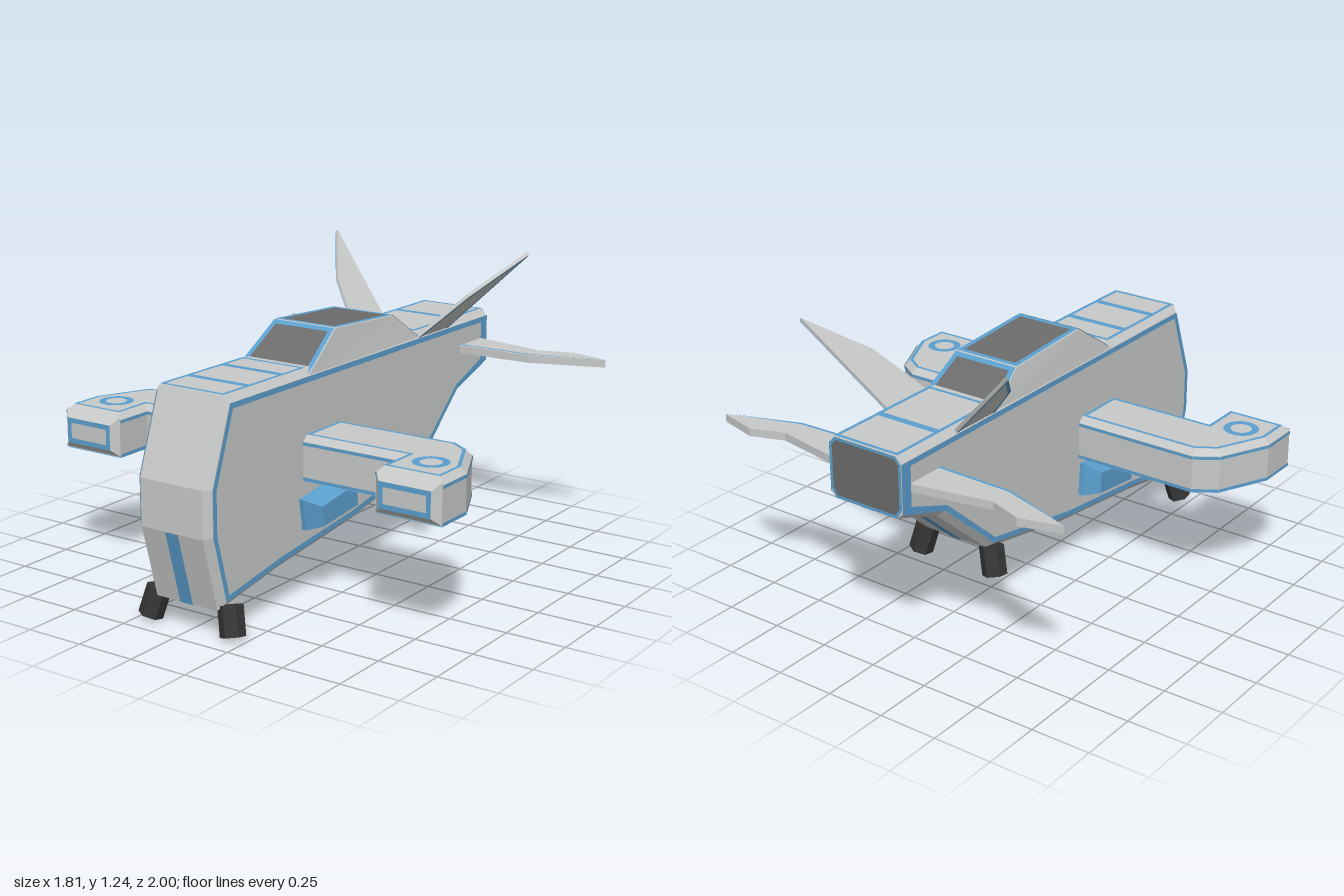
import * as THREE from 'three';

const mat = (name, color, side = THREE.FrontSide) => {
  const m = new THREE.MeshStandardMaterial({ color, flatShading: true, side });
  m.name = name;
  return m;
};

// Move every edge of a polygon inwards by d.
function inset(poly, d) {
  const n = poly.length;
  let area = 0;
  poly.forEach(([x, y], i) => {
    const [X, Y] = poly[(i + 1) % n];
    area += x * Y - X * y;
  });
  const s = Math.sign(area);
  const normal = (a, b) => {
    const l = Math.hypot(b[0] - a[0], b[1] - a[1]);
    return [-s * (b[1] - a[1]) / l, s * (b[0] - a[0]) / l];
  };
  return poly.map((p, i) => {
    const a = normal(poly[(i + n - 1) % n], p), b = normal(p, poly[(i + 1) % n]);
    const k = d / (1 + a[0] * b[0] + a[1] * b[1]);
    return [p[0] + (a[0] + b[0]) * k, p[1] + (a[1] + b[1]) * k];
  });
}

function fromTriangles(tris) {
  const g = new THREE.BufferGeometry().setFromPoints(tris.flat());
  g.computeVertexNormals();
  return g;
}

const capOf = (poly) => THREE.ShapeUtils.triangulateShape(poly.map(p => new THREE.Vector2(...p)), []);

// Closed solid: the polygon at several heights, each [inset, height], placed by map(u, v, h).
function loft(poly, layers, map) {
  const rings = layers.map(([d, h]) => inset(poly, d).map(([u, v]) => map(u, v, h)));
  const n = poly.length, last = rings.length - 1, tris = [];
  for (let k = 0; k < last; k++) for (let i = 0; i < n; i++) {
    const j = (i + 1) % n, A = rings[k], B = rings[k + 1];
    tris.push([A[i], A[j], B[j]], [A[i], B[j], B[i]]);
  }
  const first = inset(poly, layers[0][0]);
  const flip = THREE.ShapeUtils.isClockWise(first.map(p => new THREE.Vector2(...p)));
  for (const [k, rev] of [[0, !flip], [last, flip]])
    for (const [a, b, c] of capOf(inset(poly, layers[k][0]))) {
      const ccw = (() => {
        const P = first, q = (P[b][0] - P[a][0]) * (P[c][1] - P[a][1]) - (P[c][0] - P[a][0]) * (P[b][1] - P[a][1]);
        return q > 0 !== flip;
      })();
      const t = [rings[k][a], rings[k][b], rings[k][c]];
      // cap follows the polygon's own turning at the far end, reversed at the near end
      tris.push((k === last) === ccw ? t : t.reverse());
    }
  const volume = tris.reduce((v, [a, b, c]) => v + a.dot(b.clone().cross(c)), 0);
  if (volume < 0) tris.forEach(t => t.reverse());
  return fromTriangles(tris);
}

// Flat painted outline between two insets of a polygon.
function band(poly, d0, d1, h, map) {
  const [A, B] = [d0, d1].map(d => inset(poly, d).map(([u, v]) => map(u, v, h)));
  return fromTriangles(A.flatMap((p, i) => {
    const j = (i + 1) % A.length;
    return [[p, A[j], B[j]], [p, B[j], B[i]]];
  }));
}

// Flat painted patch.
function fill(poly, d, h, map) {
  const P = inset(poly, d).map(([u, v]) => map(u, v, h));
  return fromTriangles(capOf(poly).map(t => t.map(i => P[i])));
}

const V = (x, y, z) => new THREE.Vector3(x, y, z);
const rect = (a, b, c, d) => [[a, c], [b, c], [b, d], [a, d]];

// Plane across the hull from (z0, y0) to (z1, y1): u is x, v runs along, h lifts outwards.
function slope([z0, y0], [z1, y1]) {
  const L = Math.hypot(z1 - z0, y1 - y0), dz = (z1 - z0) / L, dy = (y1 - y0) / L;
  return { L, map: (u, v, h) => V(u, y0 + v * dy - h * dz, z0 + v * dz + h * dy) };
}

export function createModel() {
  const model = new THREE.Group();
  const grey = mat('light grey hull', 0xc8caca);
  const blue = mat('blue trim', 0x5b9fce, THREE.DoubleSide);
  const dark = mat('dark grey glass', 0x6c6c6c, THREE.DoubleSide);
  const black = mat('black gear', 0x363636, THREE.DoubleSide);
  const add = (name, geo, m) => {
    const mesh = new THREE.Mesh(geo, m);
    mesh.name = name;
    model.add(mesh);
    return mesh;
  };

  // Hull: side profile as (z, y), going back over the top and forward under the belly
  const profile = [[0.88, 0.93], [-1, 0.92], [-1, 0.67], [-0.77, 0.585], [-0.47, 0.32],
    [0.05, 0.225], [0.55, 0.17], [0.92, 0.11], [1, 0.41], [1, 0.6]];
  const hullMap = (z, y, x) => V(x, y, z < -0.95 ? -1 : z);
  add('hull', loft(profile, [[0.028, -0.17], [0, -0.145], [0, 0.145], [0.028, 0.17]], hullMap), grey);
  for (const s of [-1, 1]) add('hullSideTrim', band(profile, 0.028, 0.05, s * 0.173, hullMap), blue);

  // Belly stripe, from the tail ramp round to the lower nose
  for (let i = 2; i < 8; i++) {
    const f = slope(profile[i], profile[i + 1]);
    add('bellyStripe', fill(rect(-0.03, 0.03, 0, f.L), 0, 0.003, f.map), blue);
  }

  // Deck panel outlines
  const deckY = z => 0.925 + 0.0053 * z;
  for (const [a, b] of [[0.87, 0.71], [0.71, 0.5], [0.5, 0.36], [-0.44, -0.75], [-0.75, -0.995]]) {
    const f = slope([a, deckY(a)], [b, deckY(b)]);
    add('deckTrim', band(rect(-0.15, 0.15, 0, f.L), 0, 0.016, 0.003, f.map), blue);
  }

  // Tail end plate
  const tail = [[-0.145, 0.92], [0.145, 0.92], [0.17, 0.89], [0.17, 0.71], [0.145, 0.67],
    [-0.145, 0.67], [-0.17, 0.71], [-0.17, 0.89]];
  const tailMap = (x, y, h) => V(x, y, -1 - h);
  add('tailTrim', band(tail, 0, 0.012, 0.002, tailMap), blue);
  add('tailPlate', fill(tail, 0.012, 0.002, tailMap), dark);

  // Canopy with three framed windows
  const cab = [[0.36, 0.9], [0.15, 1.045], [-0.27, 1.02], [-0.44, 0.9]];
  const half = [0.168, 0.148, 0.148, 0.168];
  const canopy = new THREE.BoxGeometry(1, 1, 1).toNonIndexed();
  const pos = canopy.attributes.position;
  for (let i = 0; i < pos.count; i++) {
    const top = pos.getY(i) > 0, front = pos.getZ(i) > 0;
    const k = front ? (top ? 1 : 0) : (top ? 2 : 3);
    pos.setXYZ(i, Math.sign(pos.getX(i)) * half[k], cab[k][1], cab[k][0]);
  }
  canopy.computeVertexNormals();
  add('canopy', canopy, grey);
  for (let i = 0; i < 3; i++) {
    const f = slope(cab[i], cab[i + 1]), [a, b] = [half[i], half[i + 1]];
    const pane = [[-a, 0], [a, 0], [b, f.L], [-b, f.L]];
    add('windowFrame', band(pane, 0.003, 0.024, 0.003, f.map), blue);
    add('window', fill(pane, 0.024, 0.003, f.map), dark);
  }

  for (const s of [-1, 1]) {
    // Wing: plan outline as (x, z)
    const plan = [[0.15, 0.13], [0.71, 0.13], [0.8, 0.19], [0.9, 0.4], [0.9, 0.57],
      [0.615, 0.57], [0.615, 0.4], [0.15, 0.4]];
    const flat = (x, z, y) => V(s * x, y, z);
    add('wing', loft(plan, [[0, 0.49], [0, 0.645], [0.022, 0.668]], flat), grey);
    add('wingTopTrim', band(plan, 0.022, 0.036, 0.671, flat), blue);
    add('wingBottomTrim', band(plan, 0, 0.012, 0.487, flat), blue);

    // Trim lines along the wing walls
    for (let i = 0; i < plan.length - 1; i++) {
      if (i === 4) continue;
      const [a, b] = [plan[i], plan[i + 1]], L = Math.hypot(b[0] - a[0], b[1] - a[1]);
      const d = [(b[0] - a[0]) / L, (b[1] - a[1]) / L];
      const wall = (u, y, h) => V(s * (a[0] + d[0] * u + d[1] * h), y, a[1] + d[1] * u - d[0] * h);
      for (const y of [0.49, 0.632])
        add('wingEdgeTrim', fill(rect(0, L, y, y + 0.013), 0, 0.003, wall), blue);
    }

    // Ring marking on the wing tip
    const ring = add('wingRing', new THREE.RingGeometry(0.043, 0.072, 24), blue);
    ring.rotation.x = -Math.PI / 2;
    ring.position.set(s * 0.76, 0.672, 0.42);

    // Forward-facing pod mouth
    const mouth = rect(0.615, 0.9, 0.49, 0.655);
    const ahead = (x, y, z) => V(s * x, y, z);
    add('podMouth', loft(mouth, [[0, 0.568], [0.03, 0.598]], ahead), grey);
    add('podMouthTrim', band(mouth, 0.03, 0.05, 0.6, ahead), blue);

    // Side block under the wing, tapering outwards
    const block = [[0.43, 0.42], [0.14, 0.46], [0.13, 0.32], [0.41, 0.29]];
    add('sideBlock', loft(block, [[0, 0.16], [0, 0.19], [0.024, 0.262]], (z, y, x) => V(s * x, y, z)), blue);
    const strut = (z, y, x) => V(s * x, y, z);
    add('blockStrut', fill([[0.28, 0.44], [0.25, 0.44], [0.23, 0.5], [0.26, 0.5]], 0, 0.173, strut), blue);

    // Tailplane
    const plane = [[0.15, -0.955], [0.5, -0.89], [0.64, -0.94], [0.81, -0.895], [0.5, -0.785], [0.15, -0.775]];
    add('tailplane', loft(plane, [[0, 0.765], [0, 0.798]], flat), grey);
    const front = [[0.17, -0.776], [0.5, -0.786], [0.81, -0.895], [0.5, -0.798], [0.17, -0.79]];
    add('tailplaneTrim', fill(front, 0, 0.801, flat), blue);

    // Leaning tail fin, drawn along its own slope
    const fin = [[-0.02, -0.43], [0.235, -0.56], [0.46, -0.787], [-0.02, -0.67]];
    const lean = (u, z, h) => V(s * (0.165 + (u - h) * 0.7), 0.905 + (u + h) * 0.72, z);
    add('tailFin', loft(fin, [[0, -0.007], [0, 0.007]], lean), grey);
    add('tailFinTrim', band(fin, 0, 0.014, -0.009, lean), blue);

    // Hollow six-sided feet, splayed outwards
    const tube = [[0.03, -0.03], [0.03, -0.06], [0.05, -0.06], [0.05, 0.06], [0, 0.06]];
    for (const [name, x, y, z, tilt] of [['frontFoot', 0.185, 0.069, 0.887, -0.2], ['rearFoot', 0.172, 0.272, -0.462, 0.14]]) {
      const foot = add(name, new THREE.LatheGeometry(tube.map(p => new THREE.Vector2(...p)), 6), black);
      foot.position.set(s * x, y, z);
      foot.rotation.set(tilt, 0, s * 0.24);
    }
    
  }
  return model;
}
